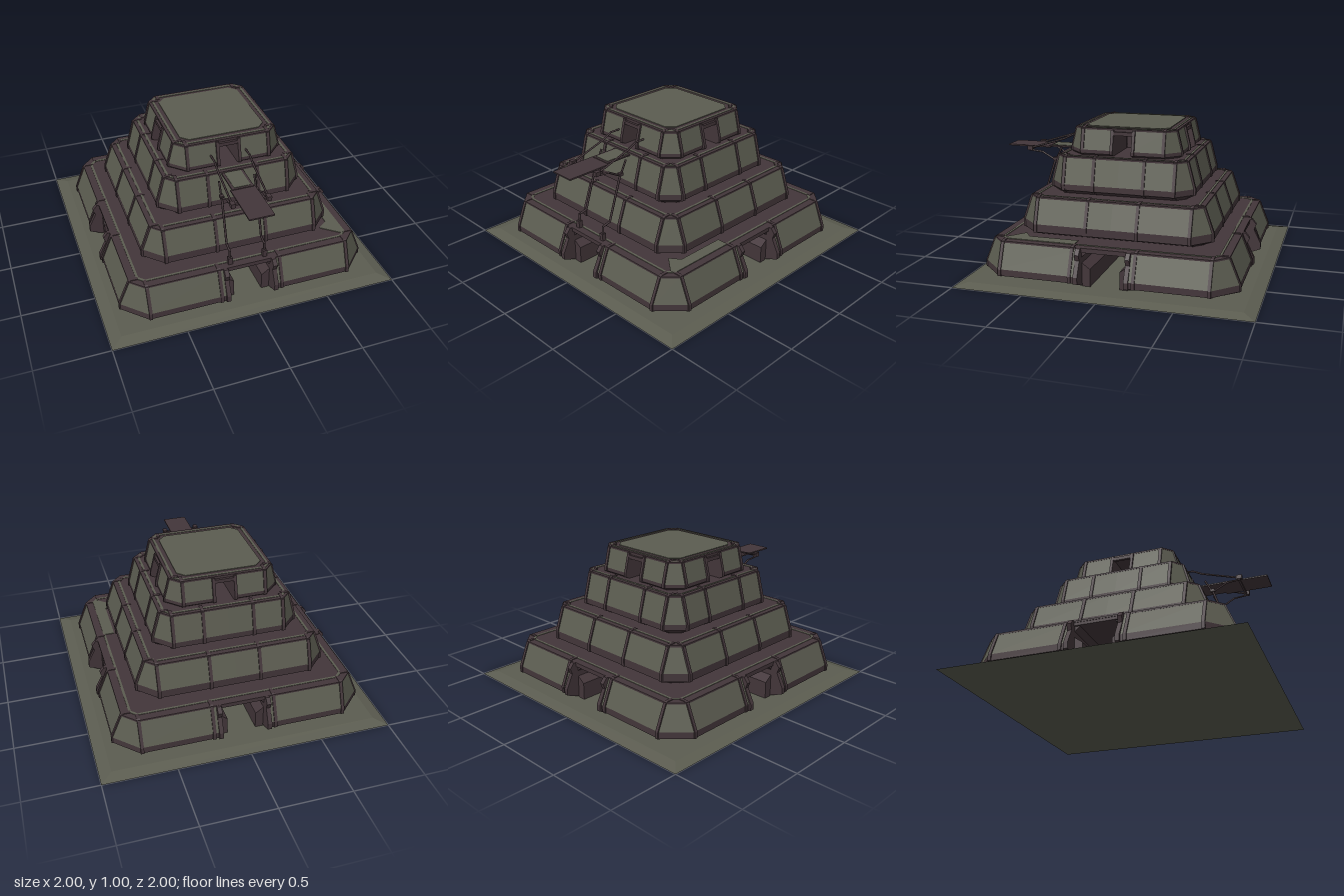
import * as THREE from 'three';

const mat = (name, color) => Object.assign(new THREE.MeshStandardMaterial({ color }), { name });

export function createModel() {
  const stone = mat('grey green stone', 0x5b5c50);
  const metal = mat('dark purple metal', 0x43363a);
  metal.side = stone.side = THREE.DoubleSide;

  const model = new THREE.Group();
  model.name = 'steppedPyramid';

  function add(parent, name, geometry, material, x = 0, y = 0, z = 0) {
    const mesh = new THREE.Mesh(geometry, material);
    mesh.name = name;
    mesh.position.set(x, y, z);
    parent.add(mesh);
    return mesh;
  }

  const polygon = (pts) => new THREE.Shape(pts.map(([x, y]) => new THREE.Vector2(x, y)));
  const extrude = (shape, depth) => new THREE.ExtrudeGeometry(shape, { depth, bevelEnabled: false });

  // Square with cut corners; c is where the cut starts on each side
  const octagon = (h, c) => [[c, -h], [h, -c], [h, c], [c, h], [-c, h], [-h, c], [-h, -c], [-c, -h]];

  // Horizontal plate whose underside lies at y = 0
  function plate(pts, thickness, hole) {
    const shape = polygon(pts);
    if (hole) shape.holes.push(polygon(hole));
    return extrude(shape, thickness).rotateX(-Math.PI / 2);
  }

  // One sloping band of a tier's corner, from the gate jamb round to the next side
  function cornerBand([h0, y0], [h1, y1], g, c) {
    const line = (h, y) => [[g, y, h], [Math.min(c, h), y, h], [h, y, Math.min(c, h)], [h, y, g]];
    const a = line(h0, y0), b = line(h1, y1), pos = [];
    for (let i = 0; i < 3; i++) pos.push(a[i], a[i + 1], b[i + 1], a[i], b[i + 1], b[i]);
    const geometry = new THREE.BufferGeometry();
    geometry.setAttribute('position', new THREE.Float32BufferAttribute(pos.flat(), 3));
    geometry.computeVertexNormals();
    return geometry;
  }

  // Straight rods joined end to end
  function rods(parent, name, points, r) {
    const group = new THREE.Group();
    group.name = name;
    parent.add(group);
    for (let i = 1; i < points.length; i++) {
      const a = new THREE.Vector3(...points[i - 1]), b = new THREE.Vector3(...points[i]);
      const rod = add(group, 'rod', new THREE.CylinderGeometry(r, r, a.distanceTo(b) + r, 6), metal);
      rod.position.copy(a).add(b).multiplyScalar(0.5);
      rod.quaternion.setFromUnitVectors(new THREE.Vector3(0, 1, 0), b.sub(a).normalize());
    }
  }

  // Ground slab with sloping edges
  const ground = new THREE.CylinderGeometry(0.92 * Math.SQRT2, Math.SQRT2, 0.02, 4).toNonIndexed();
  ground.rotateY(Math.PI / 4);
  ground.computeVertexNormals();
  add(model, 'groundSlab', ground, stone, 0, 0.01, 0);

  const body = new THREE.Group();
  body.name = 'tiers';
  body.position.set(-0.004, 0, 0.01);
  model.add(body);

  // profile: [half width, height] from foot to roof; c: corner cut; g: half gate width
  const tiers = [
    { profile: [[0.77, 0.03], [0.87, 0.065], [0.87, 0.11], [0.8, 0.28]], c: 0.715, g: 0.155, ribs: [0.215, 0.705], trim: 0.742 },
    { profile: [[0.57, 0.285], [0.66, 0.32], [0.66, 0.375], [0.6, 0.545]], c: 0.535, g: 0, ribs: [0.175, 0.53], trim: 0.56 },
    { profile: [[0.44, 0.55], [0.503, 0.585], [0.503, 0.625], [0.455, 0.805]], c: 0.39, g: 0, ribs: [0.175, 0.385], trim: 0.425 },
    { profile: [[0.37, 0.81], [0.39, 0.825], [0.39, 0.85], [0.355, 0.99]], c: 0.295, g: 0.065, ribs: [0.285], trim: 0.33 },
  ];

  tiers.forEach(({ profile, c, g, ribs, trim }, index) => {
    const tier = new THREE.Group();
    tier.name = 'tier' + (index + 1);
    body.add(tier);
    const [foot, low, high, top] = profile;

    // Rib outline standing slightly proud of the wall and folding over the roof edge
    const proud = (d, inner) => [[inner, foot[1]], foot, [low[0] + d, low[1]], [high[0] + d, high[1]],
      [top[0] + d, top[1]], [top[0] - 0.01, top[1] + 0.012], [Math.min(inner, top[0] - 0.06), top[1] + 0.012]];

    for (let k = 0; k < 4; k++) {
      const side = new THREE.Group();
      side.name = 'side';
      side.rotation.y = k * Math.PI / 2;
      tier.add(side);
      add(side, 'footBand', cornerBand(foot, low, g, c), metal);
      add(side, 'lowerBand', cornerBand(low, high, g, c), metal);
      add(side, 'wallPanels', cornerBand(high, top, g, c), stone);

      const rib = extrude(polygon(proud(0.008, top[0] - 0.06)), 0.022);
      for (const p of ribs) for (const s of [-1, 1]) add(side, 'rib', rib, metal, 0, 0, s * p - 0.011);

      if (g) {
        // Gate jambs run inwards as corridor walls
        const jamb = index === 0
          ? [[g, 0.02], [0.8, 0.03], [0.885, 0.065], [0.885, 0.11], [0.835, 0.21], [0.85, 0.25], [0.82, 0.287], [g, 0.28]]
          : proud(0.014, g).map(([r, y]) => [r, Math.min(y, 0.99)]);
        const w = index === 0 ? 0.03 : 0.02;
        const wall = extrude(polygon(jamb), w);
        add(side, 'gateJamb', wall, metal, 0, 0, g);
        add(side, 'gateJamb', wall, metal, 0, 0, -g - w);
        add(side, 'lintel', new THREE.BoxGeometry(top[0], 0.02, 2 * g), metal, top[0] / 2, top[1] - 0.015, 0);
      }
      if (index === 0) {
        // Sloping skirting and cut upper corners of the corridor
        const length = 0.63;
        for (const s of [-1, 1]) {
          const skirt = polygon([[s * g, 0.18], [s * 0.1, 0.14], [s * 0.1, 0.02], [s * g, 0.02]]);
          const cut = polygon([[s * g, 0.22], [s * 0.12, 0.255], [s * g, 0.255]]);
          add(side, 'corridorSkirting', extrude(skirt, length), metal, 0, 0, g);
          add(side, 'corridorCorner', extrude(cut, length), metal, 0, 0, g);
        }
      }
      if (index === 3) {
        // Handle-shaped bracket over each upper doorway
        add(side, 'doorBracket', new THREE.BoxGeometry(0.02, 0.025, 0.15), metal, 0.362, 0.965, 0);
      }
    }

    // Roof with a pale inlaid line
    add(tier, 'roof', plate(octagon(top[0] + 0.003, Math.min(c, top[0] - 0.04)), 0.012), metal, 0, top[1] - 0.005, 0);
    add(tier, 'roofLine', plate(octagon(trim + 0.008, trim - 0.035), 0.005, octagon(trim - 0.008, trim - 0.045)), stone, 0, top[1] + 0.005, 0);
  });

  // Central blocks that close the crossing corridors
  add(body, 'lowerCore', new THREE.BoxGeometry(0.18, 0.24, 0.6), metal, 0, 0.14, 0);
  add(body, 'upperCore', new THREE.BoxGeometry(0.13, 0.17, 0.06), metal, 0, 0.9, 0.03);

  // Pale top deck and the pale patch on the lowest roof
  add(body, 'topDeck', plate(octagon(0.295, 0.245), 0.006), stone, 0, 0.996, 0);
  const patch = [[0.67, -0.22], [0.75, -0.22], [0.75, -0.71], [0.72, -0.72], [0.6, -0.62], [0.67, -0.57]];
  add(body, 'roofPatch', plate(patch, 0.006), stone, 0, 0.286, 0);

  // Landing bridge at the front
  const bridge = new THREE.Group();
  bridge.name = 'landingBridge';
  bridge.position.x = -0.005;
  model.add(bridge);
  add(bridge, 'landingPad', new THREE.BoxGeometry(0.17, 0.01, 0.33), metal, 0, 0.79, 0.82);
  add(bridge, 'walkway', new THREE.BoxGeometry(0.15, 0.01, 0.21), metal, 0, 0.795, 0.56);
  add(bridge, 'walkwayInlay', new THREE.BoxGeometry(0.115, 0.006, 0.18), stone, 0, 0.8, 0.56);
  add(bridge, 'crossBeam', new THREE.BoxGeometry(0.25, 0.014, 0.014), metal, 0, 0.78, 0.79);
  for (const s of [-1, 1]) {
    const x = s * 0.123;
    rods(bridge, 'upperStay', [[x, 0.9, 0.38], [x, 0.9, 0.46], [x, 0.865, 0.53], [x, 0.785, 0.79]], 0.007);
    rods(bridge, 'lowerStay', [[x, 0.77, 0.8], [x, 0.76, 0.7], [x, 0.715, 0.62], [x, 0.72, 0.59], [x, 0.8, 0.55]], 0.007);
    rods(bridge, 'leg', [[x, 0.715, 0.6], [x, 0.4, 0.705], [x, 0.385, 0.765], [x, 0.29, 0.77]], 0.008);
    add(bridge, 'joint', new THREE.BoxGeometry(0.03, 0.03, 0.04), metal, x, 0.785, 0.795);
    add(bridge, 'legClamp', new THREE.BoxGeometry(0.026, 0.02, 0.03), metal, x, 0.715, 0.6);
    add(bridge, 'legFoot', new THREE.BoxGeometry(0.03, 0.055, 0.03), metal, x, 0.31, 0.77);
  }

  return model;
}
